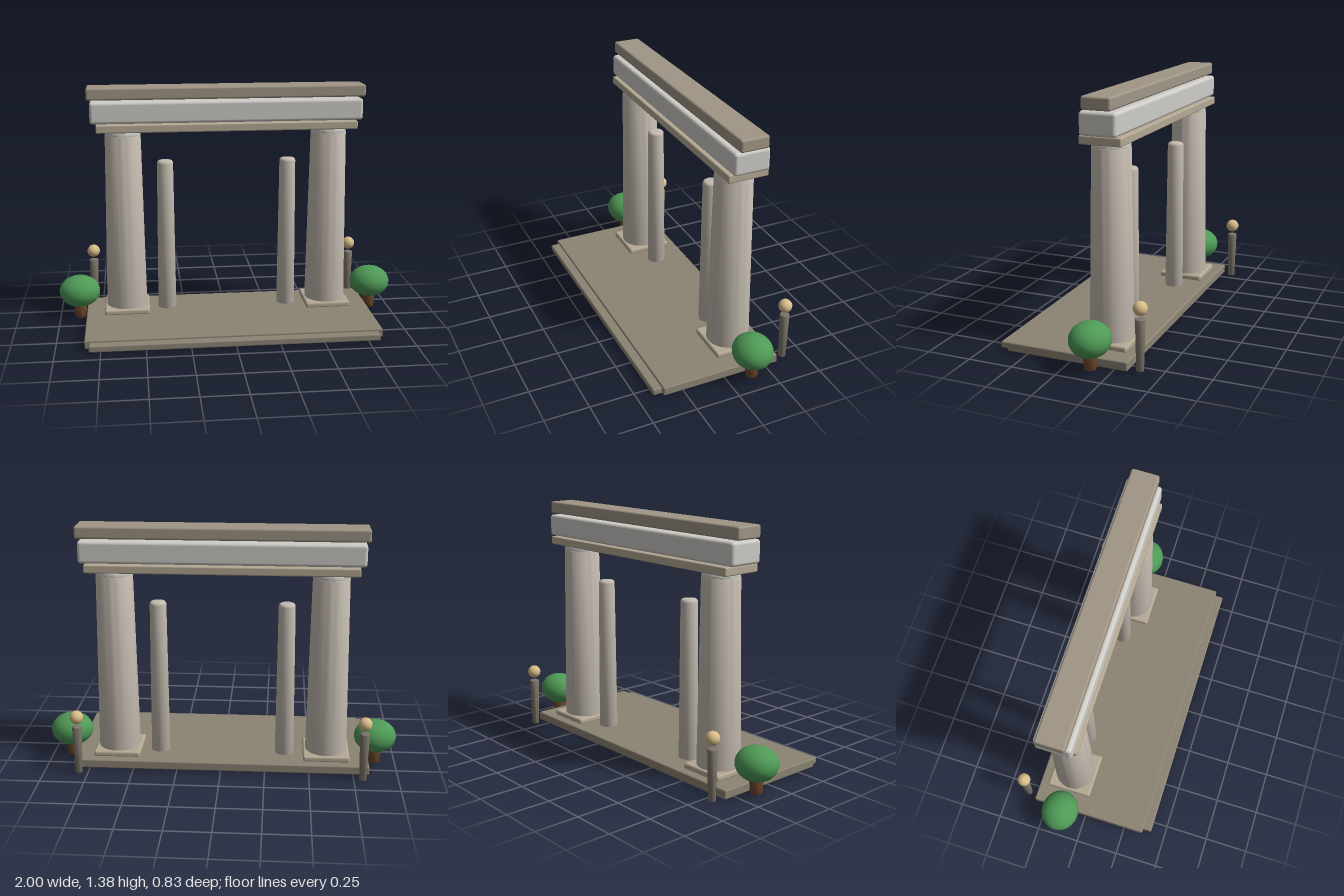
import * as THREE from 'three';
import { RoundedBoxGeometry } from 'three/addons/geometries/RoundedBoxGeometry.js';
import { toCreasedNormals } from 'three/addons/utils/BufferGeometryUtils.js';

const mat = (color) => new THREE.MeshStandardMaterial({ color });
const paving = mat(0x8c8474);
const stone = mat(0xc4bbb0);
const paleStone = mat(0xcfcdc8);
const trim = mat(0xb5a994);
const coping = mat(0xa09686);
const iron = mat(0x7d756a);
const brass = mat(0xd8bd88);
const leaf = mat(0x4f9a56);
const bark = mat(0x70492c);

const COLUMN_Z = -0.14;

export function createModel() {
  const group = new THREE.Group();

  function add(name, geometry, material, x, y, z, parent = group) {
    const mesh = new THREE.Mesh(geometry, material);
    mesh.name = name;
    mesh.position.set(x, y, z);
    parent.add(mesh);
    return mesh;
  }

  // Box with softened edges, given by its x centre, y range and z range
  function block(name, material, x, width, y0, y1, z0, z1, radius, parent) {
    const geometry = new RoundedBoxGeometry(width, y1 - y0, z1 - z0, 3, radius);
    return add(name, geometry, material, x, (y0 + y1) / 2, (z0 + z1) / 2, parent);
  }

  // Tapered round shaft with bevelled rims, standing on y = 0
  function shaft(rBottom, rTop, height, bevelBottom, bevelTop, segments = 32) {
    const points = [new THREE.Vector2(0, 0)];
    for (let i = 0; i <= 4; i++) {
      const a = (i / 4) * Math.PI / 2;
      points.push(new THREE.Vector2(rBottom - bevelBottom * (1 - Math.sin(a)), bevelBottom * (1 - Math.cos(a))));
    }
    for (let i = 0; i <= 4; i++) {
      const a = (i / 4) * Math.PI / 2;
      points.push(new THREE.Vector2(rTop - bevelTop * (1 - Math.cos(a)), height - bevelTop * (1 - Math.sin(a))));
    }
    points.push(new THREE.Vector2(0, height));
    return toCreasedNormals(new THREE.LatheGeometry(points, segments), 0.6);
  }

  // Platform and front step
  block('platform', paving, 0, 1.68, 0.004, 0.055, -0.325, 0.365, 0.008);
  block('frontStep', paving, 0, 1.63, 0.004, 0.042, 0.28, 0.416, 0.008);

  // Stacked lintel
  block('lowerLintel', trim, 0, 1.5, 1.134, 1.181, -0.257, -0.026, 0.008);
  block('mainLintel', paleStone, 0, 1.565, 1.183, 1.308, -0.243, -0.04, 0.018);
  block('topCoping', coping, 0, 1.6, 1.315, 1.385, -0.222, -0.062, 0.012);

  for (const side of [1, -1]) {
    const label = side > 0 ? 'left' : 'right';

    // Main column with plinth and collar
    const column = new THREE.Group();
    column.name = label + 'Column';
    group.add(column);
    const x = side * 0.6;
    block('plinth', trim, x, 0.265, 0.05, 0.085, -0.274, -0.008, 0.012, column);
    add('columnShaft', shaft(0.12, 0.103, 1.112, 0.03, 0.008), stone, x, 0, COLUMN_Z, column);
    add('columnCollar', shaft(0.102, 0.1, 0.035, 0.008, 0.01), paleStone, x, 1.103, COLUMN_Z, column);

    // Slender inner post
    add(label + 'InnerPost', shaft(0.054, 0.047, 0.91, 0.006, 0.016, 24), stone, side * 0.36, 0.042, COLUMN_Z);

    // Bush on a short trunk
    const bush = new THREE.Group();
    bush.name = label + 'Bush';
    group.add(bush);
    add('trunk', shaft(0.033, 0.04, 0.1, 0.008, 0.006, 20), bark, side * 0.88, 0.005, COLUMN_Z, bush);
    const crown = add('crown', new THREE.SphereGeometry(1, 32, 20), leaf, side * 0.88, 0.168, COLUMN_Z, bush);
    crown.scale.set(0.12, 0.094, 0.11);

    // Lamp post behind the platform
    const lamp = new THREE.Group();
    lamp.name = label + 'Lamp';
    group.add(lamp);
    add('lampPost', shaft(0.02, 0.027, 0.282, 0.005, 0.006, 20), iron, side * 0.8, 0.004, -0.38, lamp);
    add('lampGlobe', new THREE.SphereGeometry(0.038, 24, 16), brass, side * 0.8, 0.34, -0.38, lamp);
  }

  return group;
}
